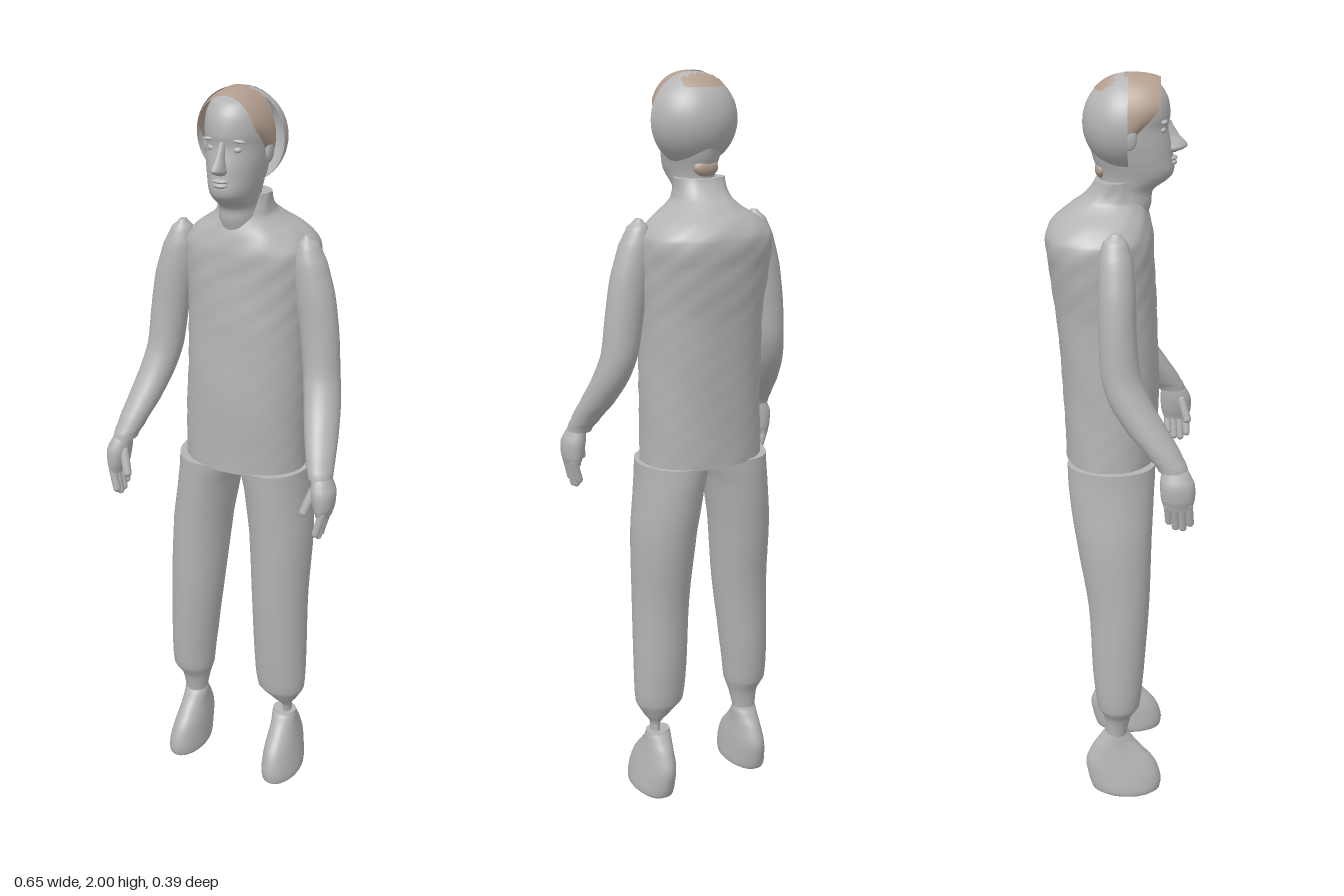
import * as THREE from 'three';

const grey = new THREE.MeshStandardMaterial({ color: 0xb4b4b4, side: THREE.DoubleSide });
grey.name = 'plain grey';
const tan = new THREE.MeshStandardMaterial({ color: 0xb39e8f, side: THREE.DoubleSide });
tan.name = 'hair tan';
const MID = 0.012; // body centre line in x

// Smooth closed skin through horizontal slices [y, xMin, xMax, zMin, zMax], listed bottom to top
function loft(rows, { sides = 32, steps = 4, power = 1, ripple = 0 } = {}) {
  const pos = [], idx = [], rings = [];
  const at = i => rows[Math.max(0, Math.min(rows.length - 1, i))];
  for (let i = 0; i < rows.length - 1; i++) {
    for (let s = 0; s < steps; s++) {
      const t = s / steps;
      rings.push(rows[i].map((_, k) => {
        const [a, b, c, d] = [at(i - 1)[k], at(i)[k], at(i + 1)[k], at(i + 2)[k]];
        if (k === 0) return b + (c - b) * t;
        return b + 0.5 * t * (c - a + t * (2 * a - 5 * b + 4 * c - d + t * (3 * (b - c) + d - a)));
      }));
    }
  }
  rings.push(rows[rows.length - 1]);
  const bend = v => Math.sign(v) * Math.abs(v) ** power;
  const addRing = ([y, x0, x1, z0, z1]) => {
    for (let j = 0; j < sides; j++) {
      const a = j / sides * Math.PI * 2;
      const k = 1 + ripple * Math.sin(y * 57 + a * 3) * Math.sin(a * 7 + y * 31);
      pos.push((x0 + x1) / 2 + (x1 - x0) / 2 * bend(Math.cos(a)) * k, y,
        (z0 + z1) / 2 + (z1 - z0) / 2 * bend(Math.sin(a)) * k);
    }
  };
  rings.forEach(addRing);
  for (let i = 0; i < rings.length - 1; i++) {
    for (let j = 0; j < sides; j++) {
      const a = i * sides + j, b = i * sides + (j + 1) % sides;
      idx.push(a, a + sides, b, b, a + sides, b + sides);
    }
  }
  // flat end caps on their own vertices
  [rings[0], rings[rings.length - 1]].forEach((r, top) => {
    const base = pos.length / 3;
    addRing(r);
    pos.push((r[1] + r[2]) / 2, r[0], (r[3] + r[4]) / 2);
    for (let j = 0; j < sides; j++) {
      const a = base + j, b = base + (j + 1) % sides;
      idx.push(base + sides, top ? b : a, top ? a : b);
    }
  });
  const g = new THREE.BufferGeometry();
  g.setAttribute('position', new THREE.Float32BufferAttribute(pos, 3));
  g.setIndex(idx);
  g.computeVertexNormals();
  return g;
}

// Grid sheet shaped by f(u, v) -> [x, y, z]
function sheet(nu, nv, f) {
  const g = new THREE.PlaneGeometry(1, 1, nu, nv), p = g.attributes.position;
  for (let i = 0; i < p.count; i++) p.setXYZ(i, ...f(p.getX(i) + 0.5, 0.5 - p.getY(i)));
  g.computeVertexNormals();
  return g;
}

export function createModel() {
  const model = new THREE.Group();
  const add = (name, geo, mat = grey, parent = model) => {
    const m = new THREE.Mesh(geo, mat);
    m.name = name;
    parent.add(m);
    return m;
  };
  const ball = (name, x, y, z, rx, ry, rz, mat, parent) => {
    const m = add(name, new THREE.SphereGeometry(1, 20, 14), mat, parent);
    m.position.set(x, y, z);
    m.scale.set(rx, ry, rz);
    return m;
  };
  const finger = (name, a, b, r, parent) => {
    const p = new THREE.Vector3(...a), q = new THREE.Vector3(...b), d = q.clone().sub(p);
    const m = add(name, new THREE.CapsuleGeometry(r, d.length(), 5, 10), grey, parent);
    m.position.copy(p).add(q).multiplyScalar(0.5);
    m.quaternion.setFromUnitVectors(new THREE.Vector3(0, 1, 0), d.normalize());
  };

  // Shirt
  add('torso', loft([
    [1.0, -0.155, 0.182, -0.148, 0.095], [1.2, -0.148, 0.182, -0.155, 0.1],
    [1.4, -0.145, 0.182, -0.17, 0.092], [1.53, -0.155, 0.19, -0.187, 0.085],
    [1.6, -0.156, 0.19, -0.193, 0.082], [1.64, -0.125, 0.155, -0.172, 0.073],
    [1.68, -0.07, 0.095, -0.125, 0.06], [1.705, -0.057, 0.082, -0.09, 0.047],
    [1.74, -0.055, 0.08, -0.066, 0.03],
  ], { sides: 56, steps: 6, power: 0.88, ripple: 0.012 }));

  // Sleeves and hands
  const armRows = [
    [1.072, 0.262, 0.325, 0.1, 0.175], [1.1, 0.25, 0.322, 0.078, 0.163],
    [1.16, 0.226, 0.312, 0.025, 0.128], [1.23, 0.204, 0.298, -0.022, 0.085],
    [1.3, 0.188, 0.284, -0.045, 0.055], [1.4, 0.174, 0.275, -0.05, 0.044],
    [1.5, 0.158, 0.26, -0.052, 0.041], [1.58, 0.15, 0.236, -0.05, 0.034],
    [1.625, 0.16, 0.213, -0.04, 0.02], [1.645, 0.175, 0.192, -0.02, 0.002],
  ];
  const palmRows = [
    [0.975, 0.292, 0.33, 0.115, 0.187], [1.0, 0.284, 0.337, 0.108, 0.193],
    [1.04, 0.276, 0.338, 0.105, 0.192], [1.07, 0.275, 0.325, 0.108, 0.178],
    [1.09, 0.275, 0.316, 0.11, 0.16],
  ];
  for (const side of [1, -1]) {
    const flip = rows => side > 0 ? rows
      : rows.map(([y, x0, x1, z0, z1]) => [y, 2 * MID - x1, 2 * MID - x0, z0, z1]);
    const X = x => side > 0 ? x : 2 * MID - x;
    const arm = new THREE.Group();
    arm.name = side > 0 ? 'leftArm' : 'rightArm';
    model.add(arm);
    add('sleeve', loft(flip(armRows)), grey, arm);
    add('palm', loft(flip(palmRows), { sides: 20 }), grey, arm);
    [[0.178, 0.93], [0.16, 0.917], [0.142, 0.92], [0.125, 0.935]].forEach(([z, y], i) =>
      finger('finger' + (i + 1), [X(0.316), 0.985, z], [X(0.302), y, z + 0.004], 0.0105, arm));
    finger('thumb', [X(0.285), 1.04, 0.165], [X(0.268), 0.985, 0.182], 0.012, arm);
  }

  // Trousers, with the left hem pinched in above the shoe
  add('rightTrouserLeg', loft([
    [0.19, -0.178, -0.112, -0.04, 0.02], [0.25, -0.186, -0.1, -0.045, 0.033],
    [0.29, -0.208, -0.088, -0.063, 0.056], [0.4, -0.21, -0.076, -0.075, 0.067],
    [0.6, -0.204, -0.052, -0.086, 0.08], [0.8, -0.195, -0.034, -0.118, 0.085],
    [0.93, -0.178, -0.013, -0.136, 0.09], [1.005, -0.172, 0.01, -0.14, 0.093],
  ]));
  add('leftTrouserLeg', loft([
    [0.19, 0.14, 0.165, -0.03, 0.008], [0.225, 0.138, 0.166, -0.03, 0.012],
    [0.25, 0.11, 0.182, -0.043, 0.03], [0.29, 0.066, 0.203, -0.063, 0.055],
    [0.4, 0.055, 0.206, -0.075, 0.067], [0.6, 0.048, 0.206, -0.086, 0.08],
    [0.8, 0.036, 0.21, -0.118, 0.085], [0.93, 0.02, 0.2, -0.136, 0.09],
    [1.005, 0.005, 0.196, -0.14, 0.093],
  ]));

  // Shoes
  for (const side of [1, -1]) {
    const rows = [
      [0, 0.115, 0.196, -0.06, 0.1], [0.012, 0.1, 0.207, -0.078, 0.115],
      [0.05, 0.1, 0.203, -0.09, 0.117], [0.1, 0.103, 0.193, -0.096, 0.098],
      [0.15, 0.108, 0.184, -0.075, 0.055], [0.185, 0.108, 0.18, -0.05, 0.027],
      [0.2, 0.11, 0.178, -0.04, 0.018],
    ].map(([y, a, b, c, d]) => side > 0 ? [y, a, b, c, d] : [y, -b, -a, c, d]);
    add(side > 0 ? 'leftShoe' : 'rightShoe', loft(rows));
  }

  // Head: neck and face
  const head = new THREE.Group();
  head.name = 'head';
  model.add(head);
  const half = (y, w, z0, z1) => [y, MID - w, MID + w, z0, z1];
  add('faceAndNeck', loft([
    half(1.63, 0.045, -0.05, 0.06), half(1.68, 0.05, -0.05, 0.075), half(1.715, 0.05, -0.05, 0.08),
    half(1.745, 0.055, -0.055, 0.12), half(1.765, 0.06, -0.06, 0.131), half(1.79, 0.066, -0.07, 0.129),
    half(1.83, 0.073, -0.08, 0.124), half(1.87, 0.077, -0.085, 0.116), half(1.9, 0.079, -0.085, 0.12),
    half(1.94, 0.075, -0.075, 0.114), half(1.97, 0.06, -0.05, 0.095), half(1.985, 0.035, -0.02, 0.06),
  ], { sides: 40 }), grey, head);
  add('nose', loft([
    half(1.808, 0.013, 0.1, 0.135), half(1.816, 0.017, 0.1, 0.155), half(1.826, 0.015, 0.1, 0.163),
    half(1.85, 0.01, 0.1, 0.142), half(1.885, 0.008, 0.1, 0.122),
  ], { sides: 16 }), grey, head);
  ball('upperLip', MID, 1.794, 0.126, 0.022, 0.006, 0.013, grey, head);
  ball('lowerLip', MID, 1.783, 0.126, 0.019, 0.007, 0.012, grey, head);
  for (const s of [1, -1]) {
    ball('eye', MID + s * 0.032, 1.866, 0.101, 0.013, 0.008, 0.009, grey, head);
    ball('brow', MID + s * 0.034, 1.888, 0.104, 0.022, 0.005, 0.009, grey, head).rotation.z = -s * 0.1;
    ball('ear', MID + s * 0.082, 1.855, 0.022, 0.009, 0.03, 0.018, grey, head);
  }

  // Hair: band arching over the forehead, narrowing to the sideburns
  add('frontHair', sheet(36, 8, (u, v) => {
    const a = (u - 0.5) * Math.PI * 1.22, low = Math.max(0, -Math.cos(a) + 0.35);
    const z = 0.008 + v * (0.088 - 0.1 * low), k = 1 - 0.14 * v ** 3;
    return [MID + 0.092 * k * Math.sin(a), 1.885 + 0.114 * k ** 0.7 * Math.cos(a), z];
  }), tan, head);
  ball('napeHair', MID, 1.765, -0.05, 0.035, 0.022, 0.016, tan, head);

  // Half-dome covering the back of the head
  const dome = add('backShell', new THREE.SphereGeometry(1, 32, 32, Math.PI, Math.PI), grey, head);
  dome.geometry.scale(-1, 1, -1);
  dome.position.set(MID + 0.002, 1.88, 0.018);
  dome.rotation.y = 0;
  dome.geometry.computeBoundingBox();
  if (dome.geometry.boundingBox.max.z > 0.5) dome.rotation.y = Math.PI;
  dome.scale.set(0.117, 0.117, 0.114);

  // Ragged tuft of hair showing on the crown
  add('crownHair', sheet(28, 6, (u, v) => {
    const i = Math.round(u * 28), jag = 0.009 * Math.sin(i * 2.4) + 0.006 * Math.sin(i * 5.1);
    const x = -0.056 + u * 0.112, back = -0.066 + 0.02 * (2 * u - 1) ** 2;
    const z = back + (-0.018 + jag - back) * v, r = 0.1185;
    return [MID + x, 1.88 + Math.sqrt(r * r - x * x - ((z - 0.018) * 1.026) ** 2), z];
  }), tan, head);

  return model;
}
